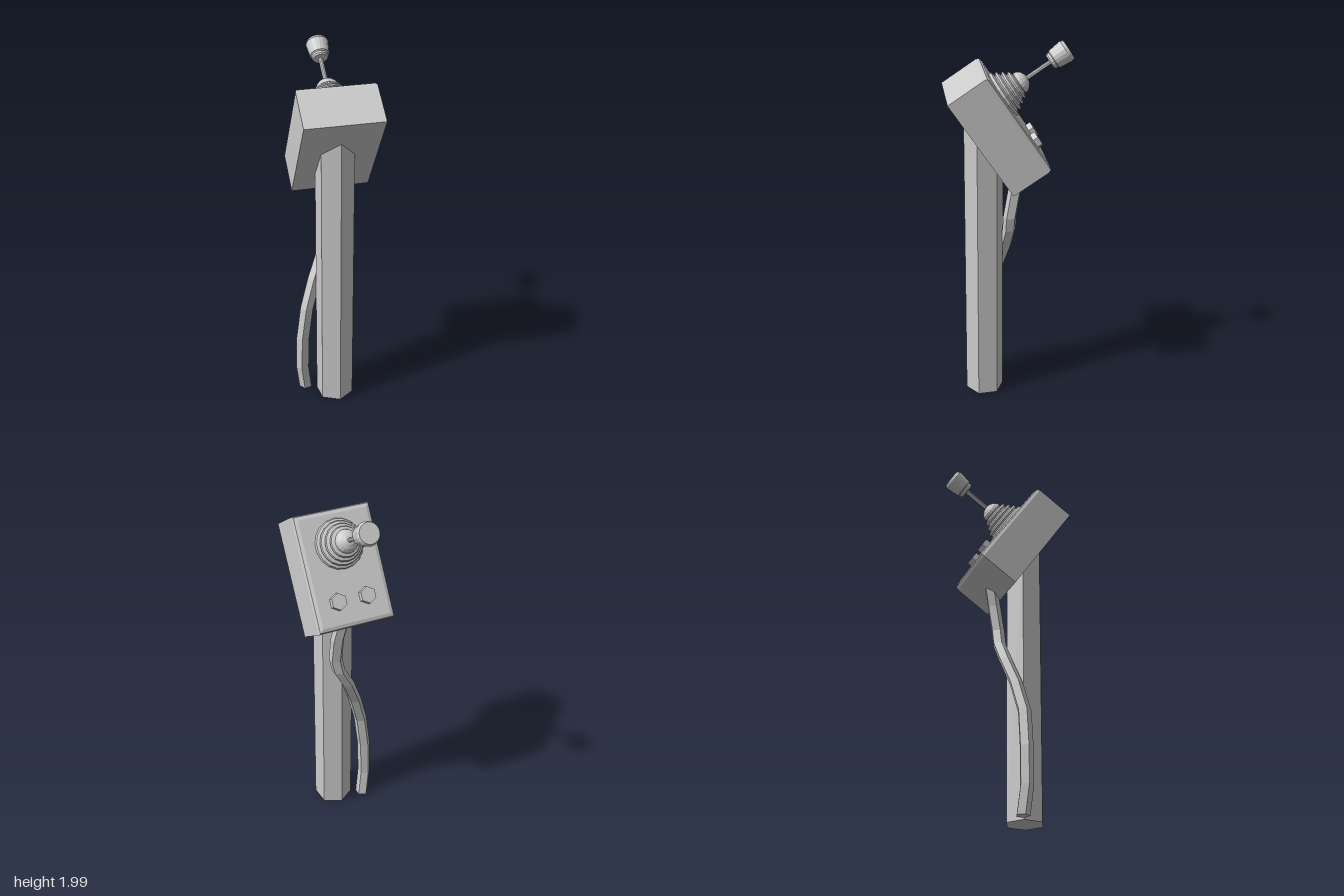
import * as THREE from 'three';

const material = new THREE.MeshStandardMaterial({ color: 0xcccccc, flatShading: true });

function part(name, geometry, parent, x = 0, y = 0, z = 0) {
  const mesh = new THREE.Mesh(geometry, material);
  mesh.name = name;
  mesh.position.set(x, y, z);
  parent.add(mesh);
  return mesh;
}

function lathe(points, sides) {
  return new THREE.LatheGeometry(points.map(([r, y]) => new THREE.Vector2(r, y)), sides);
}

// Box whose upper rim is rounded over in two steps
function housingGeometry(w, h, l) {
  const geometry = new THREE.BoxGeometry(w, h, l, 1, 3, 1);
  const heights = [-h / 2, h / 2 - 0.022, h / 2 - 0.006, h / 2];
  const insets = [0, 0, 0.006, 0.024];
  const p = geometry.attributes.position;
  for (let i = 0; i < p.count; i++) {
    const k = Math.round((p.getY(i) / h + 0.5) * 3);
    p.setXYZ(i, Math.sign(p.getX(i)) * (w / 2 - insets[k]), heights[k],
      Math.sign(p.getZ(i)) * (l / 2 - insets[k]));
  }
  geometry.computeVertexNormals();
  return geometry;
}

// Five-sided cable: each ring of a cylinder is moved to one path point
function cableGeometry(path, radius) {
  const n = path.length - 1;
  const geometry = new THREE.CylinderGeometry(radius, radius, 1, 5, n);
  geometry.rotateY(Math.PI / 2);
  const p = geometry.attributes.position;
  for (let i = 0; i < p.count; i++) {
    const [x, y, z] = path[Math.round((p.getY(i) + 0.5) * n)];
    p.setXYZ(i, p.getX(i) + x, y, p.getZ(i) + z);
  }
  geometry.computeVertexNormals();
  return geometry;
}

export function createModel() {
  const model = new THREE.Group();
  model.name = 'joystickOnPost';

  // Hexagonal post, corners pointing along x
  const post = new THREE.CylinderGeometry(0.104, 0.104, 1.61, 6);
  post.rotateY(Math.PI / 6);
  part('post', post, model, -0.043, 0.805, 0.05);

  // Cable hanging from the lower end of the box to the ground
  part('cable', cableGeometry([
    [-0.125, 0, -0.1], [-0.148, 0.15, -0.1], [-0.145, 0.35, -0.097], [-0.125, 0.55, -0.082],
    [-0.07, 0.72, -0.075], [0.0, 0.87, -0.07], [0.055, 0.98, -0.045], [0.07, 1.06, -0.036],
    [0.083, 1.2, -0.055], [0.085, 1.34, -0.09],
  ], 0.037), model);

  // Tilted control box: local y is the panel normal, local z runs down the panel
  const box = new THREE.Group();
  box.name = 'controlBox';
  box.position.set(0, 1.56, 0);
  box.rotation.set(0.981, 2.527, 0, 'YXZ');
  model.add(box);
  part('housing', housingGeometry(0.416, 0.24, 0.592), box);

  const stick = new THREE.Group();
  stick.name = 'joystick';
  stick.position.set(0, 0.12, -0.12);
  box.add(stick);

  // Pleated boot topped by a dome
  const boot = [[0.128, -0.005]];
  [0.128, 0.113, 0.096, 0.079].forEach((r, i) => {
    const y = i * 0.026;
    boot.push([r, y + 0.004], [r - 0.004, y + 0.014], [r - 0.026, y + 0.021]);
  });
  for (let i = 0; i <= 4; i++) {
    const a = (i / 4) * Math.PI / 2;
    boot.push([0.06 * Math.cos(a), 0.104 + 0.048 * Math.sin(a)]);
  }
  part('boot', lathe(boot, 18), stick);

  part('shaft', new THREE.CylinderGeometry(0.012, 0.012, 0.2, 10), stick, 0, 0.22, 0);
  part('knob', lathe([
    [0, 0.29], [0.038, 0.29], [0.044, 0.298], [0.044, 0.31], [0.051, 0.315],
    [0.06, 0.388], [0.052, 0.404], [0, 0.404],
  ], 18), stick);

  // Two hexagonal push buttons
  for (const side of [-1, 1]) {
    part(side < 0 ? 'leftButton' : 'rightButton',
      new THREE.CylinderGeometry(0.043, 0.045, 0.034, 6), box, side * 0.079, 0.132, 0.158);
  }
  return model;
}
